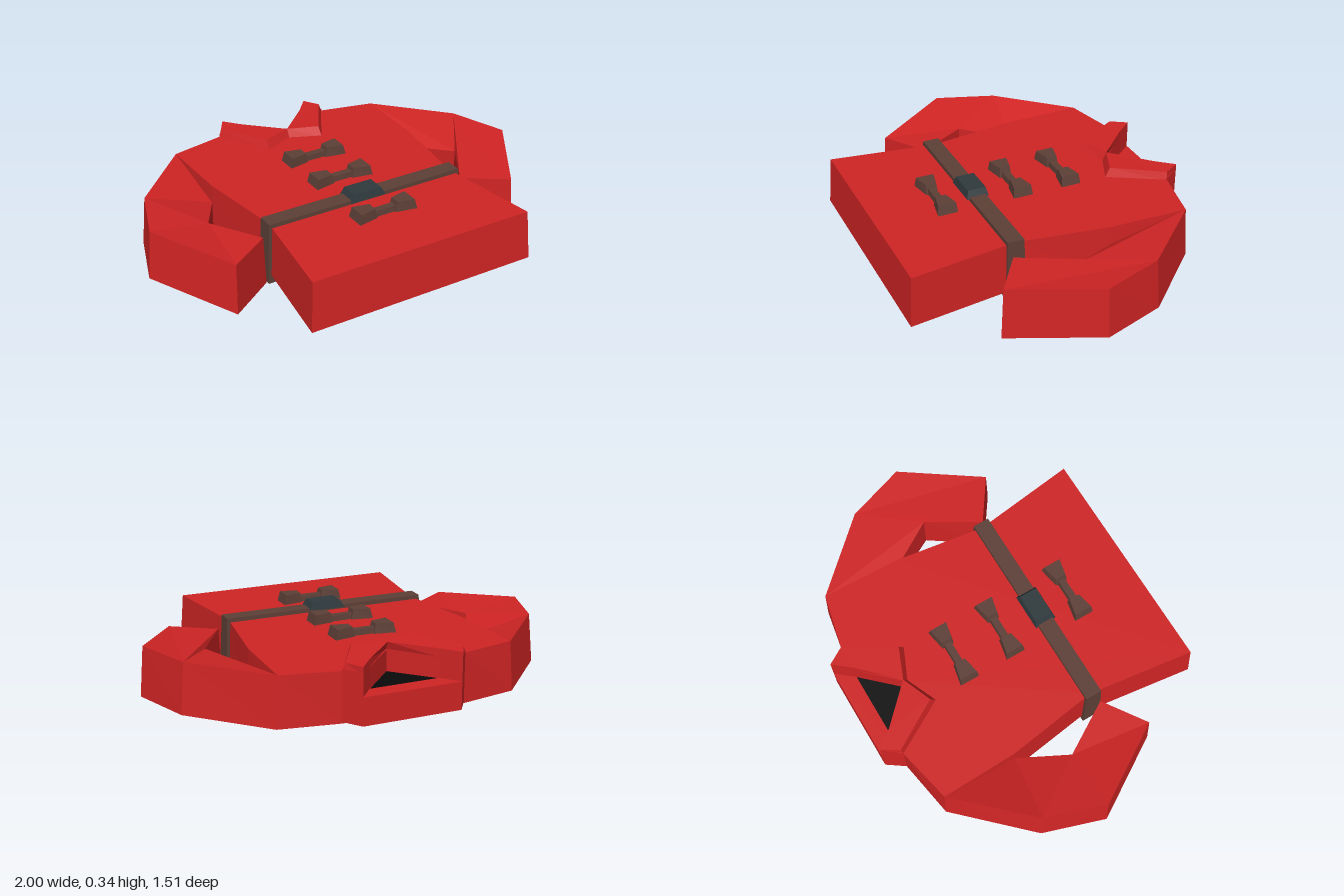
import * as THREE from 'three';

const mat = (name, color) => Object.assign(new THREE.MeshStandardMaterial({ color }), { name });

// Closed solid between two matching outlines of [x, z, y] points
function slab(top, bottom) {
  if (THREE.ShapeUtils.isClockWise(top.map(p => new THREE.Vector2(p[0], p[1])))) {
    top = [...top].reverse();
    bottom = [...bottom].reverse();
  }
  const pos = [];
  const tri = (...pts) => pts.forEach(([x, z, y]) => pos.push(x, y, z));
  const cap = pts => THREE.ShapeUtils.triangulateShape(pts.map(p => new THREE.Vector2(p[0], p[1])), []);
  cap(top).forEach(([a, b, c]) => tri(top[a], top[c], top[b]));
  cap(bottom).forEach(([a, b, c]) => tri(bottom[a], bottom[b], bottom[c]));
  top.forEach((p, i) => {
    const j = (i + 1) % top.length;
    tri(bottom[i], p, top[j]);
    tri(bottom[i], top[j], bottom[j]);
  });
  const g = new THREE.BufferGeometry();
  g.setAttribute('position', new THREE.Float32BufferAttribute(pos, 3));
  g.computeVertexNormals();
  return g;
}

const at = (pts, y) => pts.map(([x, z]) => [x, z, y]);
const flip = (pts, s) => pts.map(([x, z, y]) => [x * s, z, y]);
const bothSides = pts => [...pts, ...flip(pts, -1).reverse()];
const rect = (x, z0, z1) => [[x, z0], [x, z1], [-x, z1], [-x, z0]];

export function createModel() {
  const model = new THREE.Group();
  const red = mat('red cloth', 0xd02424);
  const brown = mat('brown leather', 0x5d4037);
  const slate = mat('dark buckle', 0x2f393d);
  const black = mat('dark lining', 0x0a0a0a);
  const add = (name, material, top, bottom, parent = model) => {
    const mesh = new THREE.Mesh(slab(top, bottom), material);
    mesh.name = name;
    parent.add(mesh);
  };

  // Body with a V notch at the neck, slightly narrower on top
  const bodyTop = [[0.17, -0.67], [0.3, -0.67], [0.57, -0.61], [0.56, -0.23], [0.495, 0.22], [0.565, 0.735]];
  const bodyLow = [[0.17, -0.67], [0.3, -0.67], [0.583, -0.62], [0.57, -0.23], [0.508, 0.22], [0.58, 0.752]];
  const notch = [[0, -0.49]];
  add('body', red, at([...notch, ...bothSides(bodyTop)], 0.29), at([...notch, ...bothSides(bodyLow)], 0.05));

  // Neck filling, dark lining and low collar back
  const vee = [[-0.17, -0.67], [0.17, -0.67], [0, -0.49]];
  add('neckBase', red, at(vee, 0.18), at(vee, 0.05));
  add('neckLining', black, at(vee, 0.188), at(vee, 0.18));
  const back = bothSides([[0.3, -0.67], [0.24, -0.755]]);
  add('collarBack', red, at(back, 0.19), at(back, 0.057));

  for (const s of [1, -1]) {
    const side = s > 0 ? 'left' : 'right';
    const pair = (name, top, bottom) => add(side + name, red, flip(top, s), flip(bottom, s));

    // Sleeve, bent at the elbow
    pair('UpperSleeve',
      [[0.57, -0.61, 0.29], [0.88, -0.28, 0.29], [0.69, 0, 0.24], [0.56, -0.23, 0.2]],
      [[0.583, -0.62, 0.05], [0.9, -0.29, 0.05], [0.69, 0, 0.026], [0.56, -0.23, 0.045]]);
    pair('LowerSleeve',
      [[0.88, -0.28, 0.29], [0.98, 0.01, 0.29], [0.745, 0.39, 0.245], [0.54, 0.25, 0.245], [0.69, 0, 0.24]],
      [[0.9, -0.29, 0.05], [1, 0.01, 0.05], [0.755, 0.405, 0], [0.53, 0.25, 0.003], [0.69, 0, 0.026]]);

    // Collar flap and the upright end behind the shoulder
    pair('CollarFlap',
      [[0.24, -0.755, 0.326], [0.288, -0.675, 0.327], [0.148, -0.44, 0.333], [0, -0.5, 0.33], [0.17, -0.67, 0.327]],
      [[0.24, -0.755, 0.285], [0.3, -0.67, 0.285], [0.152, -0.412, 0.285], [0, -0.478, 0.285], [0.17, -0.67, 0.285]]);
    const post = [[0.24, -0.755], [0.3, -0.67], [0.17, -0.67]];
    pair('CollarEnd', at(post, 0.3), at(post, 0.057));
  }

  // Belt and buckle
  add('belt', brown, at(rect(0.515, 0.185, 0.265), 0.31), at(rect(0.53, 0.178, 0.275), 0.01));
  add('buckle', slate, at(rect(0.072, 0.178, 0.268), 0.338), at(rect(0.092, 0.17, 0.278), 0.3));

  // Toggle fastenings
  for (const z of [-0.23, 0.02, 0.4]) {
    const toggle = new THREE.Group();
    toggle.name = 'toggle';
    toggle.position.z = z;
    model.add(toggle);
    add('toggleBar', brown, at(rect(0.07, -0.017, 0.017), 0.318), at(rect(0.07, -0.021, 0.021), 0.285), toggle);
    for (const s of [1, -1]) {
      const end = (x0, x1, h0, h1) => flip([[x0, -h0], [x1, -h1], [x1, h1], [x0, h0]], s);
      add('toggleEnd', brown, at(end(0.06, 0.142, 0.026, 0.044), 0.338),
        at(end(0.048, 0.154, 0.03, 0.05), 0.285), toggle);
    }
  }
  return model;
}
